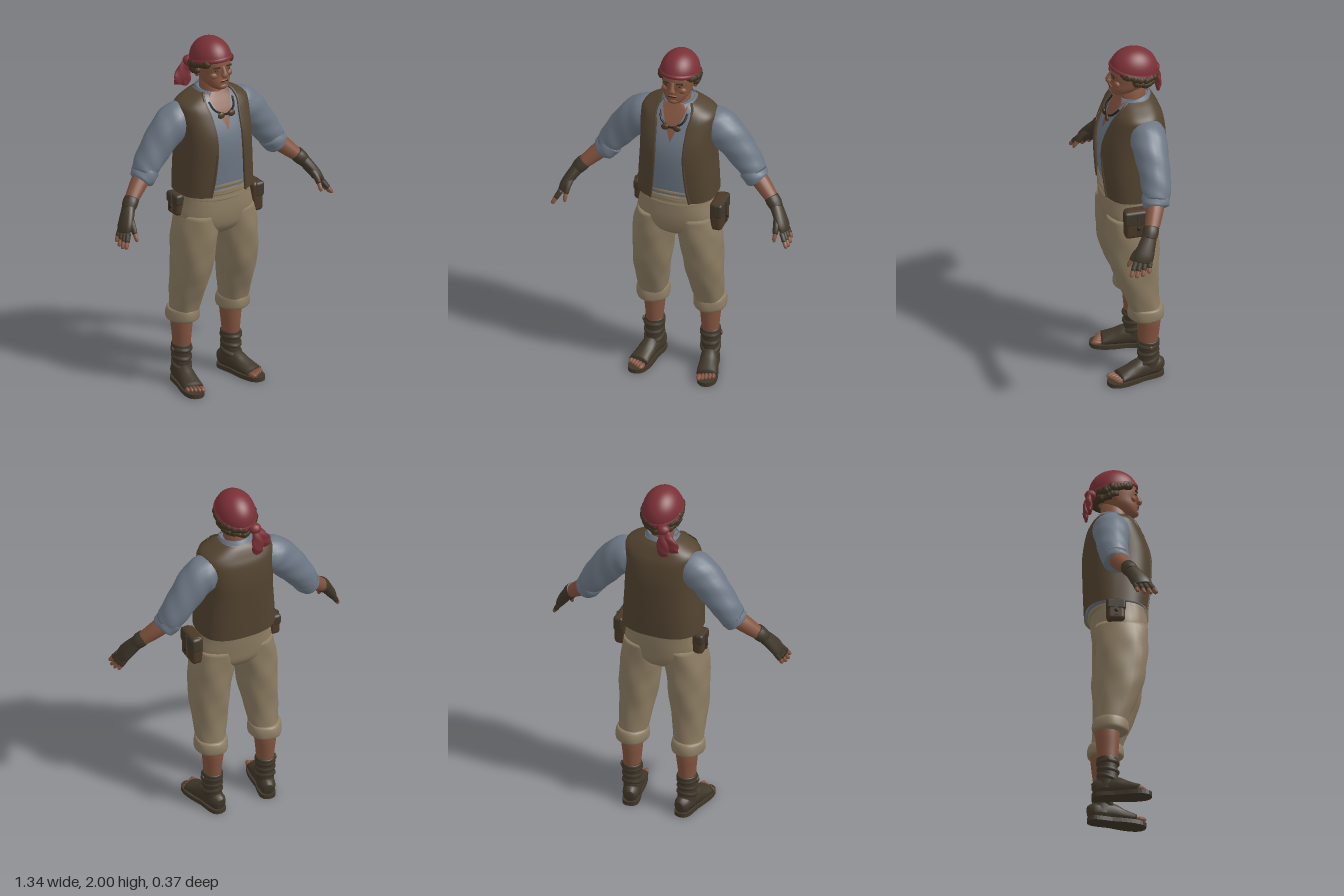
import * as THREE from 'three';
import { RoundedBoxGeometry } from 'three/addons/geometries/RoundedBoxGeometry.js';

const V = (x, y, z) => new THREE.Vector3(x, y, z);
const palette = {
  skin: 0x83543f, bandana: 0x7a3036, hair: 0x40331f, shirt: 0x6d7885, vest: 0x524330,
  trousers: 0x8c7c62, leather: 0x40372a, pouchLeather: 0x4a3827, dark: 0x241c16,
};

// Surface through a list of equally long rings, running along the ring axis
function skinRings(rings, closed = true) {
  const n = rings[0].length, pos = [], idx = [];
  rings.forEach(r => r.forEach(p => pos.push(p.x, p.y, p.z)));
  const around = closed ? n : n - 1;
  for (let i = 0; i < rings.length - 1; i++) for (let j = 0; j < around; j++) {
    const k = (j + 1) % n, a = i * n + j, b = i * n + k, c = b + n, d = a + n;
    idx.push(a, b, d, b, c, d);
  }
  if (closed) [0, rings.length - 1].forEach((r, end) => {
    const c = rings[r].reduce((s, p) => s.add(p), V(0, 0, 0)).divideScalar(n), ci = pos.length / 3;
    pos.push(c.x, c.y, c.z);
    for (let j = 0; j < n; j++) {
      const a = r * n + j, b = r * n + (j + 1) % n;
      end ? idx.push(ci, a, b) : idx.push(ci, b, a);
    }
  });
  const g = new THREE.BufferGeometry();
  g.setAttribute('position', new THREE.Float32BufferAttribute(pos, 3));
  g.setIndex(idx);
  g.computeVertexNormals();
  return g;
}

// Catmull-Rom between rows of numbers
function smooth(rows, k = 4) {
  const out = [], at = i => rows[Math.max(0, Math.min(rows.length - 1, i))];
  for (let i = 0; i < rows.length - 1; i++) for (let s = 0; s < k; s++) {
    const t = s / k;
    out.push(rows[i].map((p1, c) => {
      const p0 = at(i - 1)[c], p2 = at(i + 1)[c], p3 = at(i + 2)[c];
      return p1 + 0.5 * t * (p2 - p0 + t * (2 * p0 - 5 * p1 + 4 * p2 - p3 + t * (3 * (p1 - p2) + p3 - p0)));
    }));
  }
  out.push(rows[rows.length - 1]);
  return out;
}

// Level cross-sections, row = [y, centreX, radiusX, zFront, zBack, openingHalfWidth]
function ringPoint([y, cx, rx, zf, zb], a, { n = 2, grow = 0, fold = 0, tilt = 0 } = {}) {
  const sp = v => Math.sign(v) * Math.abs(v) ** (2 / n);
  const f = 1 + fold * Math.sin(5 * a + y * 22) + fold * 0.6 * Math.sin(3 * a - y * 41);
  const z = ((zf - zb) / 2 + grow) * f * sp(Math.cos(a));
  return V(cx + (rx + grow) * f * sp(Math.sin(a)), y + tilt * z, (zf + zb) / 2 + z);
}
function loft(rows, o = {}) {
  const seg = o.seg || 28;
  return skinRings(rows.map(r => {
    const [a0, a1] = o.range ? o.range(r) : [0, Math.PI * 2];
    return Array.from({ length: o.range ? seg + 1 : seg }, (_, j) => ringPoint(r, a0 + (a1 - a0) * j / seg, o));
  }), !o.range);
}
const angleAt = (r, w, n) => Math.asin(Math.min(1, Math.max(0, w / r[2])) ** (n / 2));

// Swept limb, row = [x, y, z, widthRadius, thicknessRadius], mirrored by s
function limb(rows, s = 1, fold = 0, seg = 16, k = 4) {
  const rs = smooth(rows, k), pts = rs.map(r => V(r[0] * s, r[1], r[2]));
  return skinRings(rs.map((r, i) => {
    const T = pts[Math.min(i + 1, pts.length - 1)].clone().sub(pts[Math.max(i - 1, 0)]).normalize();
    const ref = Math.abs(T.z) > 0.85 ? V(1, 0, 0) : V(0, 0, 1);
    const u = ref.addScaledVector(T, -ref.dot(T)).normalize(), v = T.clone().cross(u);
    return Array.from({ length: seg }, (_, j) => {
      const a = j / seg * Math.PI * 2, f = 1 + fold * Math.sin(3 * a + i * 1.3);
      return pts[i].clone().addScaledVector(u, r[3] * f * Math.cos(a)).addScaledVector(v, r[4] * f * Math.sin(a));
    });
  }));
}

export function createModel() {
  const model = new THREE.Group();
  const mats = {};
  for (const [name, color] of Object.entries(palette)) {
    mats[name] = new THREE.MeshStandardMaterial({ color });
    mats[name].name = name;
  }
  ['vest', 'shirt', 'skin'].forEach(m => { mats[m].side = THREE.DoubleSide; });
  const add = (name, geo, mat, parent = model) => {
    const m = new THREE.Mesh(geo, mats[mat]);
    m.name = name;
    parent.add(m);
    return m;
  };
  const ball = (name, mat, p, sc, parent = model, d = 12) => {
    const m = add(name, new THREE.SphereGeometry(1, d, Math.ceil(d * 0.7)), mat, parent);
    m.position.set(...p);
    m.scale.set(...sc);
    return m;
  };
  let seed = 7;
  const rnd = () => (seed = (seed * 16807) % 2147483647) / 2147483647;

  // Torso: shirt, open chest, vest
  const n = 2.6;
  const body = smooth([
    [1.145, 0, 0.218, 0.168, -0.17, 0.11], [1.25, 0, 0.213, 0.178, -0.175, 0.095],
    [1.4, 0, 0.203, 0.185, -0.18, 0.083], [1.5, 0, 0.203, 0.172, -0.18, 0.083],
    [1.6, 0, 0.208, 0.132, -0.165, 0.09], [1.65, 0, 0.198, 0.105, -0.143, 0.1],
    [1.69, 0, 0.135, 0.08, -0.12, 0.095], [1.71, 0, 0.092, 0.068, -0.1, 0.082]], 5);
  add('shirtBody', loft(body, { n, grow: -0.012 }), 'shirt');
  add('openChest', loft(body.filter(r => r[0] > 1.52), {
    n, grow: -0.008, seg: 10, range: r => { const a = angleAt(r, (r[0] - 1.518) * 0.42, n); return [-a, a]; },
  }), 'skin');
  add('vest', loft(body, { n, seg: 48, range: r => { const a = angleAt(r, r[5], n); return [a, 2 * Math.PI - a]; } }), 'vest');
  for (const s of [1, -1]) {
    const edge = body.map(r => ringPoint(r, s * angleAt(r, r[5], n), { n }));
    add('vestEdge', new THREE.TubeGeometry(new THREE.CatmullRomCurve3(edge), 50, 0.007, 6), 'vest');
    add('lapel', loft(body.filter(r => r[0] > 1.38 && r[0] < 1.68), {
      n, grow: 0.008, seg: 6, range: r => {
        const a = angleAt(r, r[5], n);
        const b = angleAt(r, r[5] + Math.max(0.004, 0.075 - Math.abs(r[0] - 1.57) * 0.38), n);
        return s > 0 ? [a, b] : [-b, -a];
      },
    }), 'vest');
  }
  // Collar
  add('collar', loft(smooth([
    [1.655, 0, 0.115, 0.105, -0.11, 0.06], [1.69, 0, 0.092, 0.085, -0.1, 0.055],
    [1.725, 0, 0.08, 0.072, -0.092, 0.045], [1.7, 0, 0.095, 0.09, -0.108, 0.06]], 3),
  { tilt: -0.15, range: r => { const a = angleAt(r, r[5], 2); return [a, 2 * Math.PI - a]; } }), 'shirt');

  // Necklace with two round charms
  add('necklaceCord', new THREE.TubeGeometry(new THREE.CatmullRomCurve3([
    V(-0.075, 1.67, 0.08), V(-0.06, 1.63, 0.115), V(0, 1.605, 0.14), V(0.06, 1.63, 0.115), V(0.075, 1.67, 0.08)]), 20, 0.006, 6), 'dark');
  for (const s of [1, -1]) ball('necklaceCharm', 'pouchLeather', [s * 0.033, 1.602, 0.138], [0.023, 0.018, 0.01]);

  // Neck and head
  add('neck', loft([[1.6, 0, 0.07, 0.08, -0.08], [1.68, 0, 0.06, 0.062, -0.08], [1.79, 0, 0.06, 0.06, -0.085]]), 'skin');
  add('head', loft(smooth([
    [1.735, 0, 0.03, 0.1, 0.03], [1.75, 0, 0.053, 0.113, -0.02], [1.782, 0, 0.074, 0.114, -0.07],
    [1.82, 0, 0.083, 0.108, -0.1], [1.868, 0, 0.088, 0.112, -0.12], [1.93, 0, 0.085, 0.1, -0.125]]), { n: 2.2 }), 'skin');
  add('nose', limb([[0, 1.872, 0.105, 0.008, 0.01], [0, 1.84, 0.118, 0.013, 0.013], [0, 1.822, 0.121, 0.017, 0.02], [0, 1.812, 0.113, 0.01, 0.012]]), 'skin');
  ball('chin', 'skin', [0, 1.755, 0.1], [0.03, 0.018, 0.02]);
  ball('lips', 'skin', [0, 1.788, 0.112], [0.026, 0.008, 0.009]);
  add('mouth', new THREE.BoxGeometry(0.044, 0.004, 0.006), 'dark').position.set(0, 1.789, 0.118);
  for (const s of [1, -1]) {
    ball('ear', 'skin', [s * 0.088, 1.825, -0.015], [0.014, 0.034, 0.022]);
    ball('eye', 'dark', [s * 0.036, 1.849, 0.1], [0.013, 0.004, 0.007]);
    const brow = add('eyebrow', new THREE.BoxGeometry(0.036, 0.008, 0.009), 'hair');
    brow.position.set(s * 0.038, 1.868, 0.105);
    brow.rotation.set(0, s * 0.3, -s * 0.1);
    ball('cheek', 'skin', [s * 0.045, 1.818, 0.085], [0.025, 0.02, 0.018]);
  }

  // Curly hair below the bandana
  const hair = new THREE.Group();
  hair.name = 'hair';
  model.add(hair);
  for (let i = 0; i < 66; i++) {
    const a = 0.85 + (i % 33) / 32 * (Math.PI * 2 - 1.7), row = Math.floor(i / 33);
    if (row && Math.cos(a) > 0.05) continue;
    const r = 0.018 + 0.008 * rnd();
    const curl = add('curl', new THREE.IcosahedronGeometry(r, 1), 'hair', hair);
    curl.position.set(Math.sin(a) * (0.097 - row * 0.009), 1.858 + 0.03 * Math.cos(a) - row * 0.034 + 0.012 * rnd(), -0.015 + Math.cos(a) * (0.113 - row * 0.01));
  }

  // Bandana with knot and tails
  const cap = add('bandana', new THREE.SphereGeometry(1, 32, 16, 0, Math.PI * 2, 0, Math.PI * 0.52), 'bandana');
  cap.scale.set(0.107, 0.122, 0.132);
  cap.position.set(0, 1.876, -0.016);
  cap.rotation.x = -0.25;
  const band = add('bandanaBand', new THREE.TorusGeometry(1, 0.06, 8, 36), 'bandana');
  band.scale.set(0.105, 0.13, 0.2);
  band.position.copy(cap.position);
  band.rotation.x = Math.PI / 2 - 0.25;
  ball('bandanaKnot', 'bandana', [-0.055, 1.828, -0.142], [0.035, 0.03, 0.032]);
  add('bandanaTail', limb([[-0.055, 1.83, -0.145, 0.012, 0.018], [-0.085, 1.785, -0.155, 0.016, 0.03], [-0.108, 1.735, -0.15, 0.016, 0.036], [-0.115, 1.7, -0.15, 0.008, 0.026]], 1, 0.1), 'bandana');
  add('bandanaTail', limb([[-0.055, 1.83, -0.145, 0.012, 0.018], [-0.06, 1.77, -0.165, 0.016, 0.03], [-0.06, 1.71, -0.167, 0.015, 0.034], [-0.07, 1.675, -0.165, 0.006, 0.02]], 1, 0.1), 'bandana');

  // Arms and gloved hands
  for (const s of [1, -1]) {
    add('sleeve', limb([[0.15, 1.565, -0.045, 0.085, 0.085], [0.2, 1.553, -0.045, 0.098, 0.1], [0.26, 1.505, -0.045, 0.094, 0.097],
      [0.325, 1.425, -0.048, 0.085, 0.088], [0.385, 1.343, -0.045, 0.08, 0.076], [0.42, 1.295, -0.035, 0.07, 0.062]], s, 0.02, 20), 'shirt');
    add('sleeveCuff', limb([[0.385, 1.325, -0.042, 0.066, 0.062], [0.398, 1.31, -0.04, 0.076, 0.07], [0.43, 1.27, -0.03, 0.072, 0.066], [0.44, 1.258, -0.028, 0.058, 0.054]], s, 0.02, 20), 'shirt');
    add('forearm', limb([[0.41, 1.3, -0.035, 0.05, 0.048], [0.47, 1.245, -0.012, 0.047, 0.045], [0.555, 1.165, 0.03, 0.035, 0.032]], s), 'skin');
    add('gloveCuff', limb([[0.525, 1.198, 0.018, 0.041, 0.039], [0.545, 1.175, 0.028, 0.044, 0.04], [0.565, 1.15, 0.04, 0.038, 0.034]], s), 'leather');
    add('glovePalm', limb([[0.555, 1.165, 0.032, 0.038, 0.033], [0.585, 1.12, 0.058, 0.047, 0.031], [0.613, 1.075, 0.08, 0.053, 0.027], [0.628, 1.045, 0.09, 0.047, 0.02]], s), 'leather');
    for (let i = 0; i < 4; i++) {
      const o = (i - 1.5) * 0.026, len = [0.82, 0.97, 1, 0.9][i];
      const at = t => [0.622 + 0.042 * t * len, 1.055 - 0.074 * t * len, 0.088 + o + (0.03 + o * 0.3) * t * len];
      add('gloveFinger', limb([[...at(0), 0.015, 0.015], [...at(0.6), 0.0135, 0.0135]], s, 0, 8), 'leather');
      add('fingertip', limb([[...at(0.5), 0.0115, 0.0115], [...at(0.9), 0.011, 0.011], [...at(1.02), 0.006, 0.006]], s, 0, 8), 'skin');
    }
    add('gloveThumb', limb([[0.58, 1.12, 0.075, 0.02, 0.02], [0.588, 1.085, 0.118, 0.019, 0.018], [0.59, 1.05, 0.142, 0.015, 0.014]], s, 0, 10), 'leather');
    add('thumbTip', limb([[0.59, 1.055, 0.14, 0.012, 0.012], [0.59, 1.025, 0.158, 0.011, 0.011], [0.59, 1.012, 0.165, 0.005, 0.005]], s, 0, 8), 'skin');
  }

  // Trousers and waist sash
  add('trouserSeat', loft(smooth([[0.9, 0, 0.14, 0.1, -0.08], [0.95, 0, 0.205, 0.15, -0.118], [1.02, 0, 0.22, 0.166, -0.13],
    [1.1, 0, 0.205, 0.166, -0.137], [1.2, 0, 0.19, 0.155, -0.145]]), { n: 2.3, fold: 0.006 }), 'trousers');
  for (let i = 0; i < 4; i++) {
    const y = 1.13 + i * 0.022;
    add('sashFold', loft([[y - 0.014, 0, 0.19, 0.158, -0.14], [y, 0, 0.2, 0.173, -0.152], [y + 0.014, 0, 0.19, 0.158, -0.14]], { n: 2.3, tilt: i % 2 ? 0.04 : -0.03 }), 'trousers');
  }
  for (const s of [1, -1]) {
    const side = rows => smooth(rows.map(([y, x, ...r]) => [y, x * s, ...r]));
    add('trouserLeg', loft(side([[0.41, 0.16, 0.072, 0.035, -0.125], [0.5, 0.155, 0.084, 0.065, -0.115], [0.6, 0.15, 0.094, 0.105, -0.113],
      [0.7, 0.143, 0.104, 0.138, -0.117], [0.8, 0.137, 0.109, 0.154, -0.12], [0.92, 0.124, 0.116, 0.16, -0.12], [1.03, 0.11, 0.105, 0.155, -0.12]]), { n: 2.2, fold: 0.018 }), 'trousers');
    add('trouserCuff', loft(side([[0.385, 0.16, 0.07, 0.03, -0.125], [0.392, 0.16, 0.088, 0.05, -0.143], [0.425, 0.16, 0.09, 0.053, -0.144], [0.455, 0.16, 0.084, 0.046, -0.132], [0.46, 0.16, 0.066, 0.03, -0.115]]), { fold: 0.015 }), 'trousers');
    add('calf', loft(side([[0.18, 0.158, 0.043, -0.01, -0.105], [0.28, 0.157, 0.05, 0, -0.117], [0.36, 0.157, 0.058, 0.005, -0.125], [0.43, 0.157, 0.06, 0.01, -0.122]])), 'skin');

    // Open-toed sandal boots
    const foot = new THREE.Group();
    foot.name = 'foot';
    foot.position.set(s * 0.158, 0, -0.057);
    foot.rotation.y = s * 0.2;
    model.add(foot);
    const sole = new THREE.Shape();
    sole.moveTo(0, 0.088);
    sole.bezierCurveTo(0.06, 0.088, 0.045, 0.02, 0.045, -0.04);
    sole.bezierCurveTo(0.06, -0.12, 0.075, -0.235, 0, -0.238);
    sole.bezierCurveTo(-0.07, -0.235, -0.055, -0.12, -0.045, -0.04);
    sole.bezierCurveTo(-0.045, 0.02, -0.06, 0.088, 0, 0.088);
    add('sole', new THREE.ExtrudeGeometry(sole, { depth: 0.024, bevelEnabled: false, curveSegments: 10 }).rotateX(-Math.PI / 2), 'leather', foot);
    add('shoeUpper', limb([[0, 0.055, -0.083, 0.026, 0.034], [0, 0.06, -0.05, 0.044, 0.052], [0, 0.066, 0.03, 0.047, 0.06], [0, 0.052, 0.1, 0.052, 0.043], [0, 0.04, 0.172, 0.055, 0.027]], 1, 0.01), 'leather', foot);
    add('shoeShaft', loft(smooth([[0.04, 0, 0.046, 0.06, -0.08], [0.1, 0, 0.047, 0.055, -0.062], [0.17, 0, 0.05, 0.052, -0.056], [0.225, 0, 0.054, 0.053, -0.062], [0.235, 0, 0.048, 0.047, -0.056]])), 'leather', foot);
    [[0.205, 0.057, 0], [0.16, 0.055, 0.12], [0.115, 0.056, 0.3]].forEach(([y, r, tilt]) =>
      add('ankleStrap', loft([[y - 0.014, 0, r - 0.008, r - 0.004, -r], [y - 0.006, 0, r, r + 0.006, -r - 0.006], [y + 0.006, 0, r, r + 0.006, -r - 0.006], [y + 0.014, 0, r - 0.008, r - 0.004, -r]], { tilt: -tilt }), 'leather', foot));
    ball('strapBuckle', 'pouchLeather', [s * 0.058, 0.205, 0.01], [0.008, 0.015, 0.015], foot);
    for (let i = 0; i < 5; i++)
      ball('toe', 'skin', [s * (-0.037 + i * 0.019), 0.035, 0.2 - i * 0.007], [i ? 0.011 : 0.015, 0.015, 0.03], foot, 8);
  }

  // Hip pouches
  const pouch = (name, x, y, z, w, h, d) => {
    const g = new THREE.Group();
    g.name = name;
    g.position.set(x, y, z);
    model.add(g);
    const s = Math.sign(x);
    add('pouchBag', new RoundedBoxGeometry(w, h, d, 3, 0.022), 'pouchLeather', g);
    add('pouchFlap', new RoundedBoxGeometry(w * 0.8, h * 0.5, d * 1.06, 2, 0.015), 'leather', g).position.set(s * w * 0.14, h * 0.24, 0);
    add('pouchStrap', new THREE.BoxGeometry(0.008, h * 0.75, 0.02), 'leather', g).position.set(s * (w / 2 + 0.004), h * 0.05, 0);
    ball('pouchButton', 'dark', [s * (w / 2 + 0.008), -h * 0.1, 0], [0.006, 0.01, 0.01], g, 8);
  };
  pouch('leftPouch', 0.235, 1.043, 0.022, 0.07, 0.17, 0.145);
  pouch('rightPouch', -0.217, 1.08, -0.02, 0.062, 0.125, 0.1);
  return model;
}
